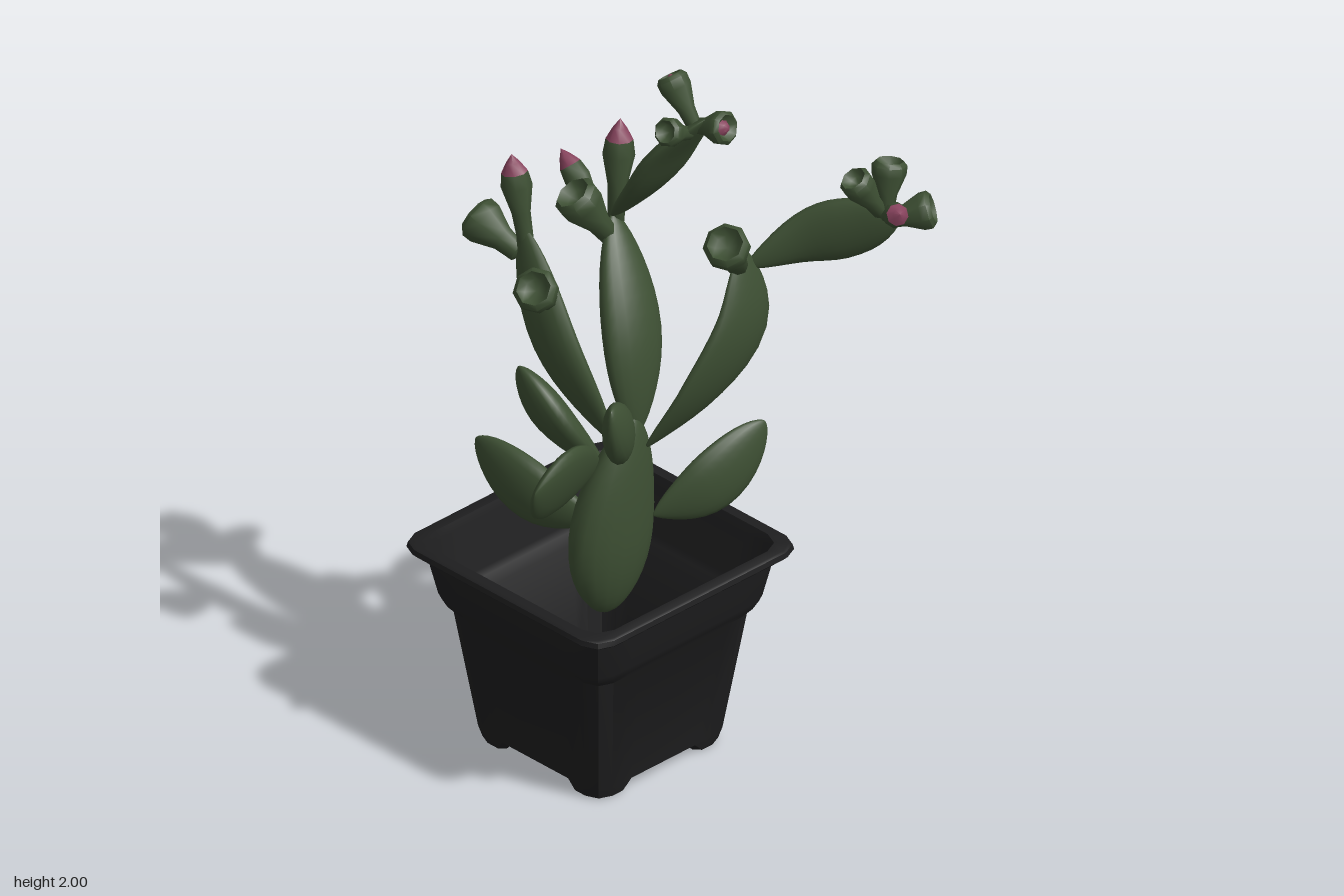
import * as THREE from 'three';
import { toCreasedNormals } from 'three/addons/utils/BufferGeometryUtils.js';

const V = (a) => new THREE.Vector3(...a);
const green = new THREE.MeshStandardMaterial({ color: 0x3d4f33 });
green.name = 'cactus green';
const pink = new THREE.MeshStandardMaterial({ color: 0x86425c });
pink.name = 'flower pink';
const black = new THREE.MeshStandardMaterial({ color: 0x1e1e1f });
black.name = 'pot black';

// Skin a list of equal-length closed rings
function loft(rings) {
  const n = rings[0].length, pos = [], idx = [];
  rings.forEach((r) => r.forEach((p) => pos.push(p.x, p.y, p.z)));
  for (let j = 0; j < rings.length - 1; j++) {
    for (let i = 0; i < n; i++) {
      const a = j * n + i, b = j * n + (i + 1) % n, c = a + n, d = b + n;
      idx.push(a, c, b, b, c, d);
    }
  }
  const g = new THREE.BufferGeometry();
  g.setAttribute('position', new THREE.Float32BufferAttribute(pos, 3));
  g.setIndex(idx);
  g.computeVertexNormals();
  return g;
}

function add(parent, name, geometry, material) {
  const m = new THREE.Mesh(geometry, material);
  m.name = name;
  parent.add(m);
  return m;
}

// Flattened obovate pad swept along a curve; 'across' is its wide direction
function pad(parent, name, path, half, thick, across, peak = 1.2) {
  const curve = new THREE.CatmullRomCurve3(path.map(V));
  const rings = [], steps = 20, sides = 18;
  for (let j = 0; j <= steps; j++) {
    const t = (1 - Math.cos((Math.PI * j) / steps)) / 2;
    const c = curve.getPoint(t), T = curve.getTangent(t);
    const W = V(across).addScaledVector(T, -V(across).dot(T)).normalize();
    const N = W.clone().cross(T);
    const s = Math.max(0.002, Math.pow(Math.max(0, Math.sin(Math.PI * Math.pow(t, peak))), 0.62));
    const ring = [];
    for (let i = 0; i < sides; i++) {
      const a = (i / sides) * Math.PI * 2;
      ring.push(c.clone().addScaledVector(W, Math.cos(a) * half * s).addScaledVector(N, Math.sin(a) * thick * s));
    }
    rings.push(ring);
  }
  add(parent, name, loft(rings), green);
}

// Eight-sided turned piece standing from one point to another
function turned(parent, name, from, to, profile, material) {
  const a = V(from), d = V(to).sub(a);
  const pts = profile.map(([r, h]) => new THREE.Vector2(r, h * d.length()));
  const g = toCreasedNormals(new THREE.LatheGeometry(pts, 8), 0.9);
  const m = add(parent, name, g, material);
  m.position.copy(a);
  m.quaternion.setFromUnitVectors(new THREE.Vector3(0, 1, 0), d.normalize());
}

// Flared fruit with a dished top
function fruit(parent, from, to, r, pinkHeart = false) {
  const g = new THREE.Group();
  g.name = 'fruit';
  turned(g, 'fruitBody', from, to, [[0, -0.1], [r * 0.45, 0], [r * 0.55, 0.35], [r * 0.98, 0.75],
    [r, 0.92], [r * 0.78, 1], [r * 0.5, 0.86], [0, 0.8]], green);
  if (pinkHeart) turned(g, 'fruitHeart', from, to, [[r * 0.45, 0.86], [r * 0.25, 0.97], [0, 1.02]], pink);
  parent.add(g);
}

// Closed bud with a pink tip
function bud(parent, from, to, r) {
  const g = new THREE.Group();
  g.name = 'bud';
  turned(g, 'budBody', from, to, [[0, -0.05], [r * 0.5, 0], [r * 0.6, 0.35], [r, 0.65], [r * 0.85, 0.8]], green);
  turned(g, 'budTip', from, to, [[r * 0.85, 0.8], [r * 0.45, 0.91], [0, 1]], pink);
  parent.add(g);
}

// Square ring with cut corners; 'lift' raises the middle of each side
function squareRing(h, y, cut, lift = 0) {
  const ring = [];
  const side = [[-(h - cut), 0], [-0.62 * h, 0], [-0.5 * h, lift], [0.5 * h, lift], [0.62 * h, 0], [h - cut, 0],
    [h - cut * 0.3, 0]];
  for (let k = 0; k < 4; k++) {
    side.forEach(([s, up], i) => {
      let x = i === 6 ? s : h, z = s;
      for (let q = 0; q < k; q++) [x, z] = [-z, x];
      ring.push(new THREE.Vector3(x, y + up, z));
    });
  }
  return ring;
}

function makePot() {
  const pot = new THREE.Group();
  pot.name = 'pot';
  pot.position.set(-0.09, 0, 0.155);
  const rings = [
    // underside and feet
    [0.001, 0.03, 0.0003], [0.205, 0.03, 0.077], [0.21, 0, 0.06, 0.03], [0.232, 0.003, 0.05, 0.027],
    // outer wall, shoulder and rim
    [0.24, 0.035, 0.05], [0.288, 0.395, 0.055], [0.308, 0.42, 0.055], [0.315, 0.44, 0.055],
    [0.34, 0.568, 0.06], [0.365, 0.572, 0.06], [0.375, 0.582, 0.06], [0.372, 0.596, 0.06], [0.366, 0.6, 0.06],
    // inner wall and floor
    [0.338, 0.6, 0.06], [0.33, 0.575, 0.058], [0.305, 0.44, 0.055], [0.298, 0.42, 0.055],
    [0.278, 0.395, 0.055], [0.228, 0.045, 0.05], [0.001, 0.045, 0.0003],
  ].map((r) => squareRing(...r));
  add(pot, 'potShell', toCreasedNormals(loft(rings), 0.6), black);
  return pot;
}

function makeCactus() {
  const cactus = new THREE.Group();
  cactus.name = 'cactus';
  // Main trunk and its lower pads
  pad(cactus, 'trunkPad', [[-0.03, 0.43, 0.19], [-0.03, 0.7, 0.17], [0.0, 1.01, 0.12]], 0.135, 0.08, [0, 0, 1], 0.85);
  pad(cactus, 'lowerRightPad', [[-0.05, 0.7, 0.21], [-0.21, 0.75, 0.28], [-0.385, 0.86, 0.32]], 0.095, 0.038, [0.2, 1, 0]);
  pad(cactus, 'lowerLeftPad', [[0.03, 0.7, 0.08], [0.1, 0.77, -0.06], [0.14, 0.91, -0.22]], 0.09, 0.035, [-0.2, 1, 0.4]);
  pad(cactus, 'frontPad', [[-0.05, 0.87, 0.2], [-0.015, 0.91, 0.36], [0.03, 0.95, 0.51]], 0.115, 0.033, [0.35, 1, 0]);
  pad(cactus, 'middleRightPad', [[-0.05, 0.84, 0.17], [-0.15, 0.99, 0.26], [-0.235, 1.14, 0.31]], 0.09, 0.045, [1, 0.4, 0.3]);
  pad(cactus, 'middleLeftPad', [[-0.01, 0.92, 0.14], [0.07, 1.03, 0.24], [0.13, 1.17, 0.33]], 0.075, 0.04, [-0.35, 1, -0.5]);
  // Tall arms
  pad(cactus, 'leftArm', [[0.02, 0.91, 0.1], [0.11, 1.08, -0.02], [0.145, 1.25, -0.13], [0.12, 1.45, -0.16]], 0.1, 0.03, [0, 0.3, 1]);
  pad(cactus, 'leftArmTip', [[0.115, 1.39, -0.17], [0.2, 1.46, -0.3], [0.3, 1.51, -0.375], [0.43, 1.58, -0.43]], 0.088, 0.036, [0, 1, 0]);
  pad(cactus, 'centreArm', [[0.0, 0.95, 0.11], [-0.06, 1.22, 0.07], [-0.18, 1.51, 0.02]], 0.095, 0.048, [0, 0, 1], 1);
  pad(cactus, 'topPad', [[-0.19, 1.49, 0.01], [-0.08, 1.64, -0.02], [0.0, 1.77, -0.03], [0.11, 1.9, -0.03]], 0.107, 0.032, [0, 0, 1], 1);
  pad(cactus, 'rightArm', [[-0.04, 0.93, 0.16], [-0.18, 1.2, 0.23], [-0.34, 1.48, 0.2]], 0.085, 0.037, [1, 0.4, 0], 1.1);
  // Fruit on the left arm
  fruit(cactus, [0.12, 1.41, -0.14], [0.175, 1.545, -0.04], 0.062);
  fruit(cactus, [0.385, 1.57, -0.42], [0.37, 1.71, -0.45], 0.047);
  fruit(cactus, [0.39, 1.55, -0.42], [0.475, 1.585, -0.505], 0.052);
  fruit(cactus, [0.38, 1.57, -0.41], [0.355, 1.7, -0.33], 0.045);
  bud(cactus, [0.4, 1.57, -0.41], [0.505, 1.645, -0.355], 0.035);
  // Fruit on the top pad
  fruit(cactus, [0.075, 1.86, -0.03], [-0.015, 1.985, -0.025], 0.043, true);
  fruit(cactus, [0.07, 1.85, -0.01], [0.08, 1.9, 0.085], 0.04);
  fruit(cactus, [0.07, 1.86, -0.04], [0.175, 1.895, -0.05], 0.047, true);
  // Fruit and buds on the centre arm
  fruit(cactus, [-0.17, 1.45, 0.04], [-0.22, 1.6, 0.13], 0.062);
  bud(cactus, [-0.18, 1.48, 0.01], [-0.2, 1.77, -0.025], 0.043);
  bud(cactus, [-0.18, 1.46, 0.04], [-0.34, 1.65, 0.055], 0.036);
  // Fruit and bud on the right arm
  fruit(cactus, [-0.34, 1.4, 0.21], [-0.48, 1.465, 0.235], 0.062);
  bud(cactus, [-0.32, 1.43, 0.2], [-0.375, 1.68, 0.2], 0.042);
  fruit(cactus, [-0.21, 1.31, 0.22], [-0.16, 1.42, 0.33], 0.06);
  return cactus;
}

export function createModel() {
  const model = new THREE.Group();
  model.name = 'pottedCactus';
  model.add(makePot(), makeCactus());
  return model;
}
